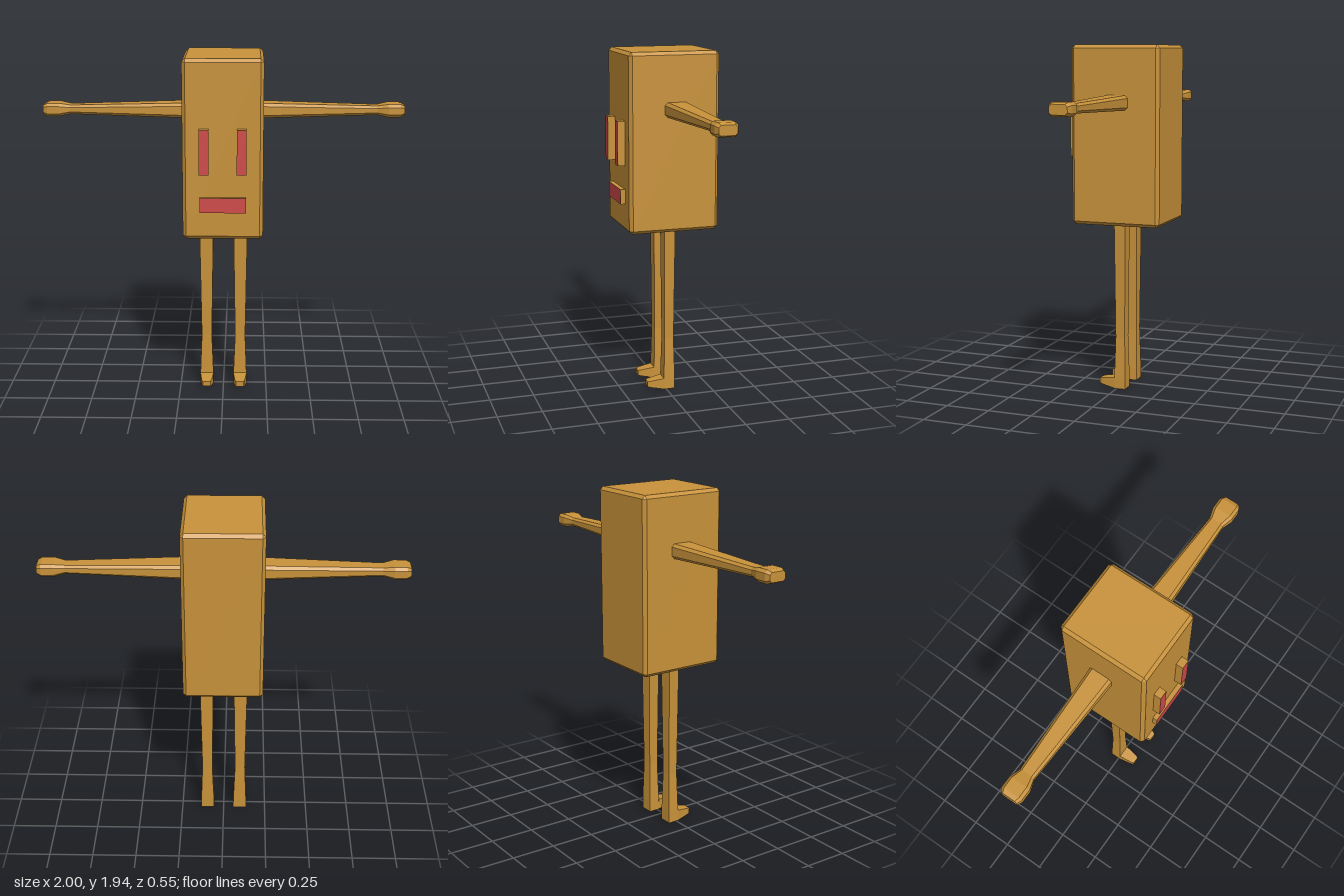
import * as THREE from 'three';

const tan = new THREE.MeshStandardMaterial({ color: 0xc8923a, flatShading: true });
const red = new THREE.MeshStandardMaterial({ color: 0xd04a4a, flatShading: true });

// Chamfered rectangle, ordered so a loft along +y faces outwards
function ring({ y, x = 0, z = 0, hx, hz, c = 0 }) {
  return [
    [hx, hz - c], [hx, c - hz], [hx - c, -hz], [c - hx, -hz],
    [-hx, c - hz], [-hx, hz - c], [c - hx, hz], [hx - c, hz],
  ].map(([px, pz]) => [x + px, y, z + pz]);
}

// Closed solid through a list of cross-sections
function loft(sections) {
  const rings = sections.map(ring);
  const n = 8, last = (rings.length - 1) * n, index = [];
  for (let r = 0; r < rings.length - 1; r++) {
    for (let i = 0; i < n; i++) {
      const a = r * n + i, b = r * n + (i + 1) % n;
      index.push(a, b, b + n, a, b + n, a + n);
    }
  }
  for (let i = 1; i < n - 1; i++) {
    index.push(0, i + 1, i, last, last + i, last + i + 1);
  }
  const indexed = new THREE.BufferGeometry();
  indexed.setAttribute('position', new THREE.Float32BufferAttribute(rings.flat(2), 3));
  indexed.setIndex(index);
  const geometry = indexed.toNonIndexed();
  geometry.computeVertexNormals();
  return geometry;
}

function add(parent, name, geometry, x, y, z, material = tan) {
  const mesh = new THREE.Mesh(geometry, material);
  mesh.name = name;
  mesh.position.set(x, y, z);
  parent.add(mesh);
  return mesh;
}

export function createModel() {
  const model = new THREE.Group();
  model.name = 'boxFigure';

  // Tall body with chamfered edges
  const c = 0.018;
  add(model, 'body', loft([
    { y: 0.95, hx: 0.22 - c, hz: 0.255 - c },
    { y: 0.95 + c, hx: 0.22, hz: 0.255, c },
    { y: 1.94 - c, hx: 0.22, hz: 0.255, c },
    { y: 1.94, hx: 0.22 - c, hz: 0.255 - c },
  ]), 0, 0, -0.02);

  // Raised face pieces, coloured on the front only
  const faceMaterials = [tan, tan, tan, tan, red, tan];
  for (const [name, s] of [['leftEye', 1], ['rightEye', -1]]) {
    add(model, name, new THREE.BoxGeometry(0.052, 0.245, 0.05), s * 0.102, 1.443, 0.252, faceMaterials);
  }
  add(model, 'mouth', new THREE.BoxGeometry(0.252, 0.082, 0.035), 0, 1.147, 0.244, faceMaterials);

  // Tapered arm flaring into a blunt hand
  const arm = loft([
    { y: 0.222, hx: 0.041, hz: 0.067, c: 0.016 },
    { y: 0.85, hx: 0.025, hz: 0.043, c: 0.013 },
    { y: 0.91, hx: 0.036, hz: 0.061, c: 0.016 },
    { y: 0.975, hx: 0.036, hz: 0.061, c: 0.016 },
    { y: 1.0, hx: 0.026, hz: 0.049, c: 0.012 },
  ]).rotateZ(-Math.PI / 2);
  add(model, 'leftArm', arm, 0, 1.628, -0.031);
  add(model, 'rightArm', arm, 0, 1.628, -0.031).rotation.y = Math.PI;

  // Legs with a slim shin and a short pointed foot
  const leg = loft([
    { y: 0, hx: 0.039, hz: 0.032 },
    { y: 0.065, hx: 0.038, hz: 0.032 },
    { y: 0.3, hx: 0.029, hz: 0.027 },
    { y: 0.95, hx: 0.039, hz: 0.032 },
  ]);
  const foot = loft([
    { y: 0.012, z: -0.0325, hx: 0.039, hz: 0.0325 },
    { y: 0.09, z: -0.034, hx: 0.029, hz: 0.019 },
    { y: 0.107, z: -0.034, hx: 0.022, hz: 0.015 },
  ]).rotateX(Math.PI / 2);
  for (const [side, s] of [['left', 1], ['right', -1]]) {
    add(model, side + 'Leg', leg, s * 0.097, 0, -0.019);
    add(model, side + 'Foot', foot, s * 0.097, 0, 0);
  }

  return model;
}
